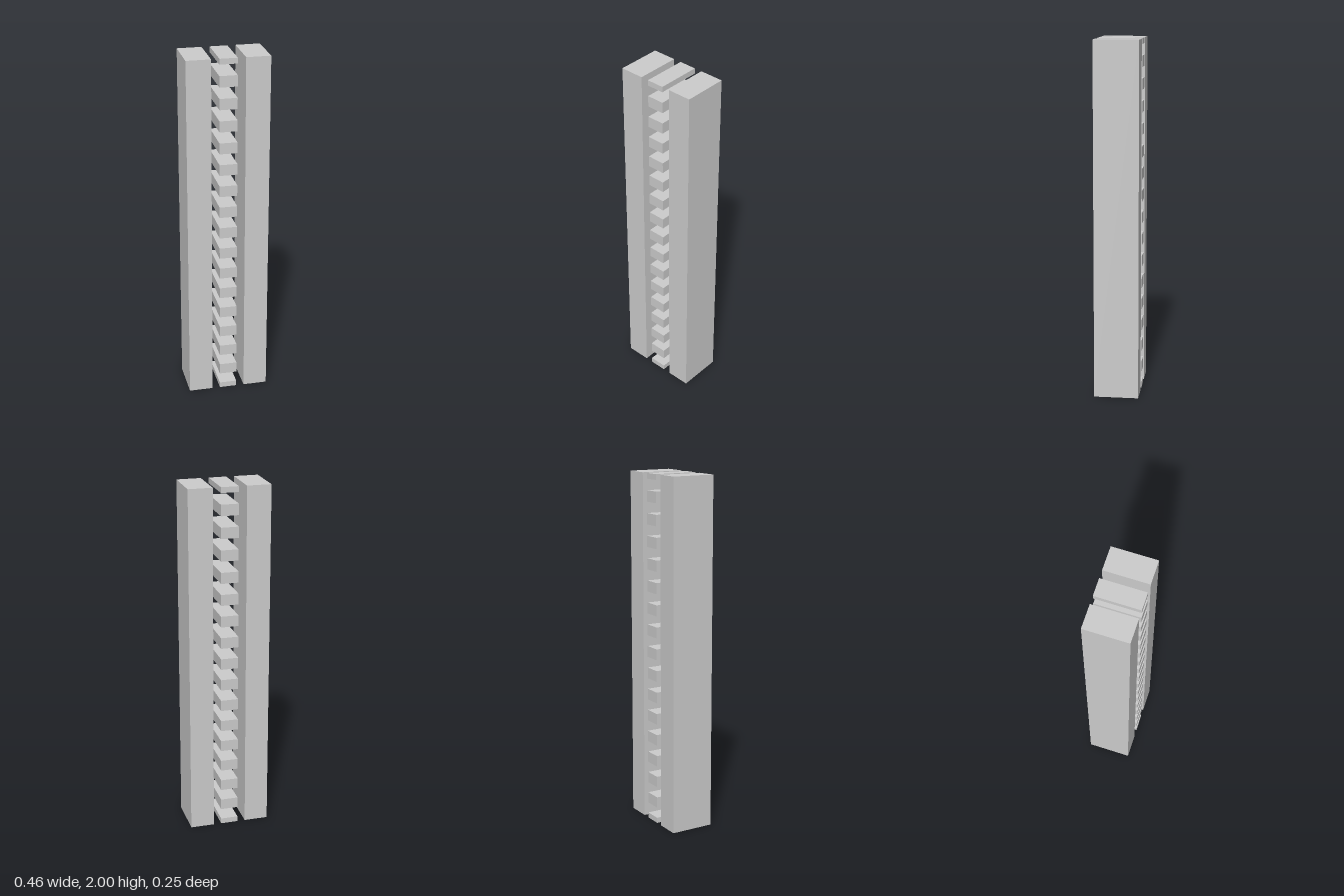
import * as THREE from 'three';

const HEIGHT = 2, DEPTH = 0.25;
const PITCH = 0.125, BLOCK_H = 0.0625, BLOCK_W = 0.099;
const INNER = 0.094, OUTER = 0.23;

export function createModel() {
  const model = new THREE.Group();
  const material = new THREE.MeshStandardMaterial({ color: 0xcccccc });

  function addBox(name, width, x, bottom, top) {
    const mesh = new THREE.Mesh(new THREE.BoxGeometry(width, top - bottom, DEPTH), material);
    mesh.name = name;
    mesh.position.set(x, (bottom + top) / 2, 0);
    model.add(mesh);
  }

  // Two full-height posts
  const postX = (INNER + OUTER) / 2;
  addBox('leftPost', OUTER - INNER, postX, 0, HEIGHT);
  addBox('rightPost', OUTER - INNER, -postX, 0, HEIGHT);

  // Column of floating blocks; the first and last are cut in half at the ends
  const count = HEIGHT / PITCH;
  for (let i = 0; i <= count; i++) {
    const y = i * PITCH;
    addBox(`block${i + 1}`, BLOCK_W, 0,
      Math.max(0, y - BLOCK_H / 2), Math.min(HEIGHT, y + BLOCK_H / 2));
  }

  return model;
}
